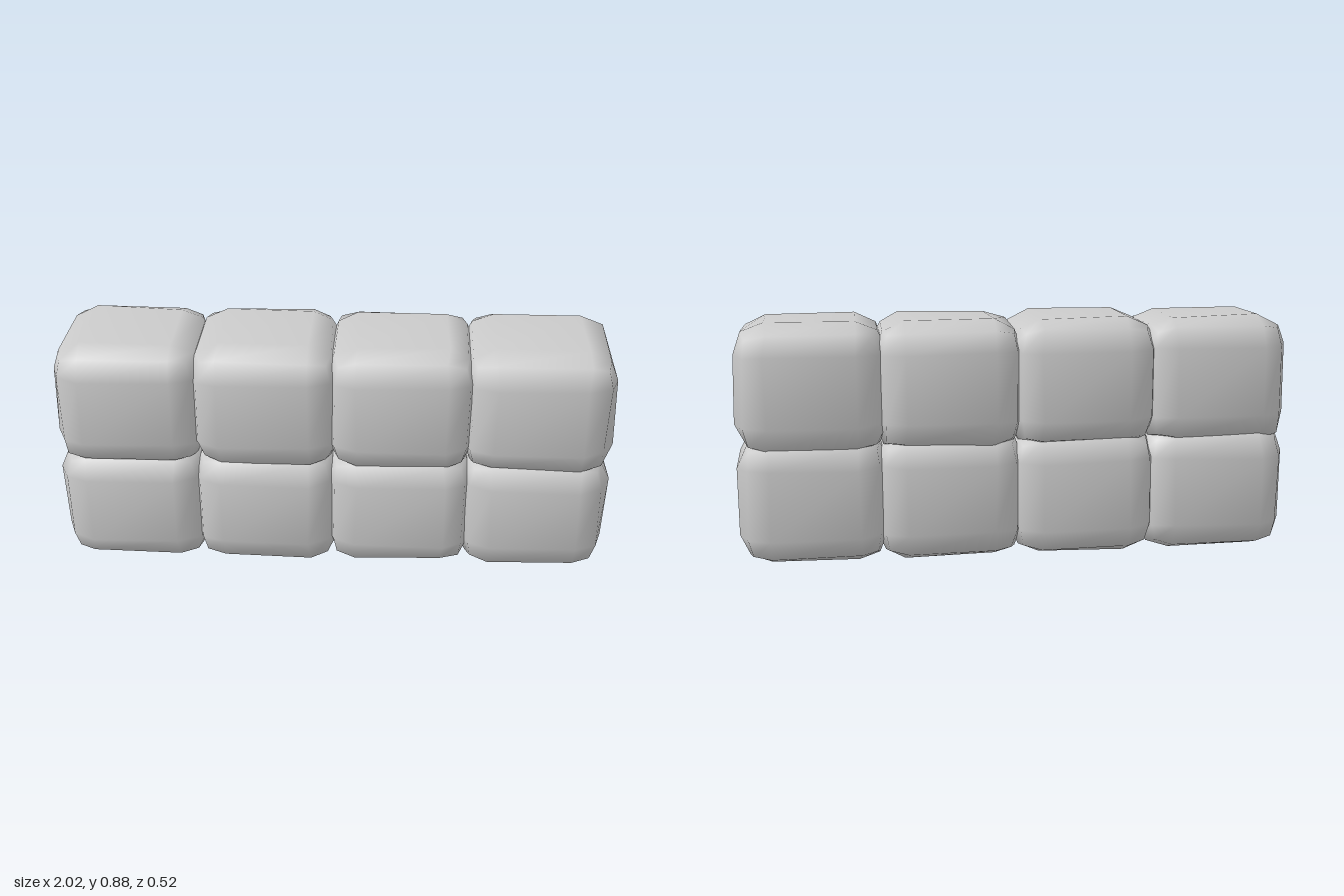
import * as THREE from 'three';
import { mergeVertices } from 'three/addons/utils/BufferGeometryUtils.js';

const HALF = [0.27, 0.235, 0.256]; // half sizes of one stone block
const BEVEL = 0.11;

function seeded(seed) {
  let s = seed;
  return () => (s = (s * 16807) % 2147483647) / 2147483647 - 0.5;
}

// Softly bevelled, slightly uneven block with smooth normals
function blockGeometry(seed) {
  let geo = new THREE.BoxGeometry(2, 2, 2, 3, 3, 3);
  geo.deleteAttribute('uv');
  geo.deleteAttribute('normal');
  geo = mergeVertices(geo);
  const rand = seeded(seed);
  const pos = geo.attributes.position;
  for (let i = 0; i < pos.count; i++) {
    const v = [pos.getX(i), pos.getY(i), pos.getZ(i)];
    const outer = v.filter((c) => Math.abs(c) > 0.9).length;
    // faces keep their plane, edges and corners are pulled inwards
    const pull = [0, 0, 0.033, 0.046][outer];
    const p = v.map((c, k) => {
      const inset = Math.abs(c) > 0.9 ? pull : BEVEL;
      return Math.sign(c) * (HALF[k] - inset) + rand() * 0.012;
    });
    pos.setXYZ(i, ...p);
  }
  geo.computeVertexNormals();
  return geo;
}

export function createModel() {
  const wall = new THREE.Group();
  wall.name = 'blockWall';
  const material = new THREE.MeshStandardMaterial({ color: 0xcccccc });

  // Two courses of four overlapping blocks
  [['lower', 0.238], ['upper', 0.642]].forEach(([course, y], row) => {
    [-0.735, -0.245, 0.245, 0.735].forEach((x, col) => {
      const block = new THREE.Mesh(blockGeometry(101 + 7919 * (row * 4 + col)), material);
      block.name = `${course}Block${col + 1}`;
      block.position.set(x, y, 0);
      wall.add(block);
    });
  });
  return wall;
}
